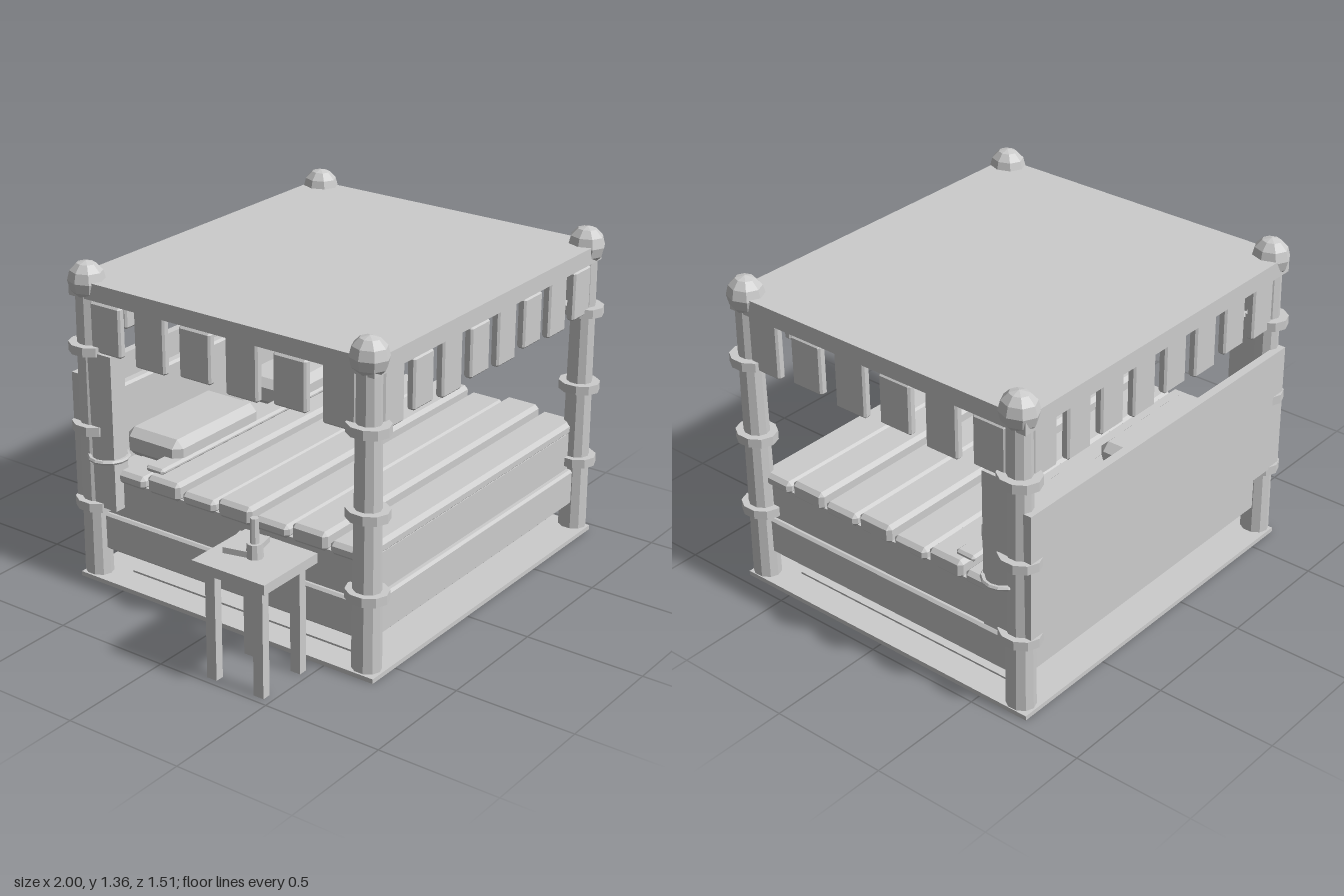
import * as THREE from 'three';
import { ConvexGeometry } from 'three/addons/geometries/ConvexGeometry.js';

const CX = 0.155; // bed centre line
const HX = 0.755, HZ = 0.665; // post spacing from the bed centre

export function createModel() {
  const model = new THREE.Group();
  model.name = 'canopyBed';
  const grey = new THREE.MeshStandardMaterial({ color: 0xcccccc, flatShading: true });
  grey.name = 'plain grey';

  function add(name, geometry, x, y, z, parent = model) {
    const mesh = new THREE.Mesh(geometry, grey);
    mesh.name = name;
    mesh.position.set(x, y, z);
    parent.add(mesh);
    return mesh;
  }

  // Box given by its bottom and top heights
  function box(name, x, y0, y1, z, w, d, parent) {
    return add(name, new THREE.BoxGeometry(w, y1 - y0, d), x, (y0 + y1) / 2, z, parent);
  }

  // Box with all edges cut off
  function chamferBox(name, x, y0, y1, z, w, d, cut, parent) {
    const half = [w / 2, (y1 - y0) / 2, d / 2];
    const points = [];
    for (const sx of [-1, 1]) for (const sy of [-1, 1]) for (const sz of [-1, 1]) {
      for (let full = 0; full < 3; full++) {
        const p = [sx, sy, sz].map((s, i) => s * (half[i] - (i === full ? 0 : cut)));
        points.push(new THREE.Vector3(...p));
      }
    }
    return add(name, new ConvexGeometry(points), x, (y0 + y1) / 2, z, parent);
  }

  // Floor plate and rug
  box('floorPlate', CX, 0, 0.019, 0, 1.6, 1.45);
  box('rug', CX, 0.019, 0.027, 0, 1.36, 1.1);

  // Four posts with collars and faceted finials
  for (const sx of [-1, 1]) for (const sz of [-1, 1]) {
    const post = new THREE.Group();
    post.name = 'post';
    post.position.set(CX + sx * HX, 0, sz * HZ);
    post.scale.set(0.88, 1, 1);
    model.add(post);
    add('shaft', new THREE.CylinderGeometry(0.05, 0.061, 1.2, 10), 0, 0.63, 0, post);
    for (const y of [0.34, 0.67, 1.005]) {
      add('collar', new THREE.CylinderGeometry(0.088, 0.088, 0.038, 10), 0, y, 0, post);
    }
    add('finial', new THREE.SphereGeometry(0.08, 8, 6), 0, 1.277, 0, post);
  }

  // Canopy with hanging tabs of alternating length
  box('canopyRoof', CX, 1.215, 1.285, -0.005, 1.59, 1.44);
  const tabHeights = [[0.985, 1.223], [1.0, 1.207]];
  for (const side of [-1, 1]) {
    for (let i = 0; i < 8; i++) {
      const [y0, y1] = tabHeights[i % 2];
      chamferBox('endTab', -0.503 + i * 0.189, y0, y1, side * 0.69, 0.128, 0.036, 0.008);
    }
    for (let i = 0; i < 6; i++) {
      const [y0, y1] = tabHeights[i % 2];
      chamferBox('sideTab', CX + side * 0.77, y0, y1, 0.555 - i * 0.2215, 0.036, 0.15, 0.008);
    }
  }

  // Headboard with raised panel
  box('headboard', CX, 0.35, 0.888, -0.722, 1.57, 0.035);
  chamferBox('headboardPanel', CX, 0.42, 0.78, -0.69, 1.32, 0.05, 0.01);

  // Gathered curtains with tie rings at the back posts
  for (const side of [-1, 1]) {
    const x = CX + side * HX;
    box('curtain', x, 0.342, 1.0, -0.59, 0.08, 0.13);
    const tie = add('curtainTie', new THREE.TorusGeometry(0.077, 0.01, 6, 14), x, 0.558, -0.588);
    tie.rotation.x = Math.PI / 2;
  }

  // Bed frame and mattress
  chamferBox('bedFrame', CX, 0.14, 0.3, 0, 1.53, 1.36, 0.01);
  box('mattress', CX, 0.295, 0.46, 0, 1.49, 1.31);

  // Quilt strips, alternately thick and thin
  for (let i = 0; i < 7; i++) {
    const top = i % 2 ? 0.53 : 0.508;
    chamferBox('quiltStrip', CX, 0.452, top, 0.577 - i * 0.177, 1.53, 0.163, 0.016);
  }
  chamferBox('blanketFold', CX, 0.525, 0.552, -0.378, 1.46, 0.09, 0.01);

  // Pillows
  for (const x of [-0.203, 0.516]) {
    chamferBox('pillow', x, 0.5, 0.623, -0.485, 0.53, 0.285, 0.032);
  }

  // Side table with four legs
  const table = new THREE.Group();
  table.name = 'sideTable';
  model.add(table);
  box('tableTop', -0.842, 0.45, 0.49, 0.332, 0.316, 0.335, table);
  for (const x of [-0.953, -0.731]) for (const z of [0.225, 0.445]) {
    box('tableLeg', x, 0, 0.45, z, 0.037, 0.045, table);
  }

  // Book and candle on the table
  const book = box('book', -0.803, 0.49, 0.514, 0.263, 0.148, 0.122, table);
  book.rotation.y = 0.23;
  add('candleHolder', new THREE.CylinderGeometry(0.03, 0.033, 0.058, 10), -0.842, 0.519, 0.334, table);
  add('candle', new THREE.CylinderGeometry(0.016, 0.018, 0.1, 8), -0.842, 0.598, 0.334, table);

  return model;
}
